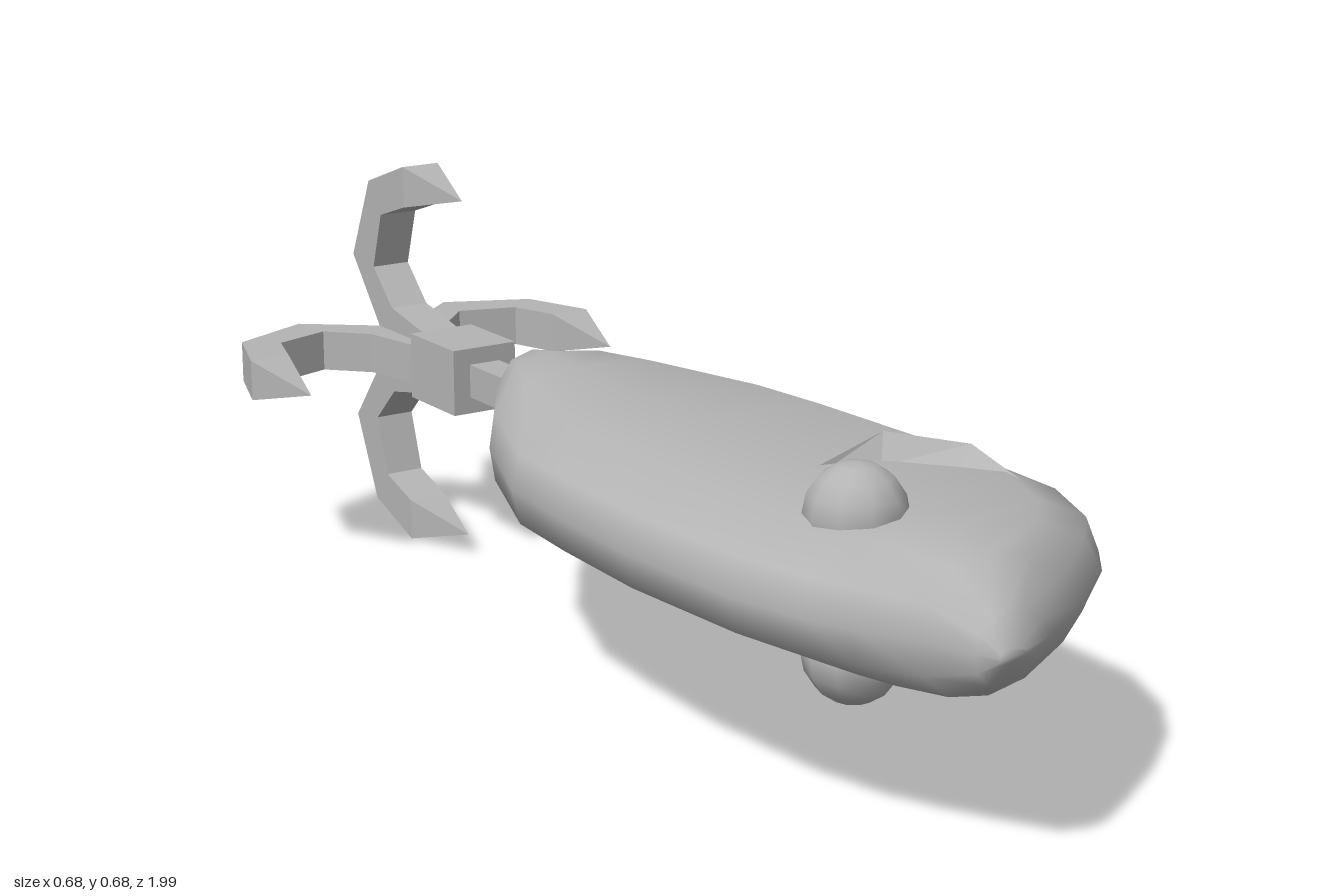
import * as THREE from 'three';

const MID = 0.345; // height of the lure's centre plane

// Lofts the flat body through cross-sections: z, left x, right x, half height, nose sharpness
function bodyGeometry() {
  const stations = [
    [0.99, -0.16, -0.11, 0.01, 1], [0.96, -0.175, -0.05, 0.055, 1],
    [0.88, -0.205, 0.08, 0.1, 1], [0.79, -0.25, 0.19, 0.11, 0.5],
    [0.72, -0.28, 0.245, 0.112, 0.2], [0.59, -0.31, 0.29, 0.112, 0],
    [0.35, -0.325, 0.3, 0.112, 0], [0.15, -0.315, 0.285, 0.112, 0],
    [0, -0.3, 0.262, 0.112, 0], [-0.22, -0.21, 0.172, 0.112, 0],
    [-0.33, -0.137, 0.115, 0.11, 0], [-0.4, -0.09, 0.077, 0.096, 0],
    [-0.47, -0.042, 0.038, 0.058, 0], [-0.505, -0.018, 0.016, 0.02, 0],
  ];
  const pos = [], idx = [];
  let n = 0;
  for (const [z, xl, xr, h, k] of stations) {
    // upper half from right to left, then its mirror below
    const upper = [
      [1, 0], [0.97 - 0.1 * k, 0.5], [0.81 - 0.17 * k, 0.88],
      [0.42, 1], [0.18, 0.88], [0.025, 0.5], [0, 0],
    ];
    const ring = [...upper, ...upper.slice(1, -1).reverse().map(([f, v]) => [f, -v])];
    n = ring.length;
    for (const [f, v] of ring) pos.push(xl + f * (xr - xl), v * h, z);
  }
  const last = stations.length - 1;
  for (let i = 0; i < last; i++) {
    for (let j = 0; j < n; j++) {
      const a = i * n + j, b = i * n + (j + 1) % n;
      idx.push(a, a + n, b, b, a + n, b + n);
    }
  }
  // close nose and tail
  for (let j = 1; j < n - 1; j++) {
    idx.push(0, j, j + 1, last * n, last * n + j + 1, last * n + j);
  }
  const g = new THREE.BufferGeometry();
  g.setAttribute('position', new THREE.Float32BufferAttribute(pos, 3));
  g.setIndex(idx);
  g.computeVertexNormals();
  return g;
}

// Crescent gill ridge: outer base, crest and inner base lines, side is +1 or -1
function gillGeometry(side) {
  const outer = [[-0.08, 0.09, 0.455], [0.065, 0.09, 0.435], [0.168, 0.085, 0.525], [0.185, 0.07, 0.635]];
  const crest = [[-0.08, 0.105, 0.455], [0.06, 0.144, 0.452], [0.162, 0.127, 0.53], [0.185, 0.085, 0.635]];
  const inner = [[-0.08, 0.09, 0.457], [0.04, 0.1, 0.475], [0.12, 0.095, 0.55], [0.185, 0.07, 0.635]];
  const pos = [];
  const tri = (a, b, c) => {
    for (const p of side > 0 ? [a, b, c] : [a, c, b]) pos.push(p[0], p[1] * side, p[2]);
  };
  for (let i = 0; i < 3; i++) {
    for (const [p, q] of [[outer, crest], [crest, inner]]) {
      tri(p[i], q[i], p[i + 1]);
      tri(p[i + 1], q[i], q[i + 1]);
    }
  }
  const g = new THREE.BufferGeometry();
  g.setAttribute('position', new THREE.Float32BufferAttribute(pos, 3));
  g.computeVertexNormals();
  return g;
}

// One hook arm: extruded outline in radius and z, pinched to a point at the tip
function hookArmGeometry() {
  const tip = [0.3, -0.66];
  const outline = [
    [0, -0.7], [0, -0.87], [0.035, -0.905], [0.15, -0.998], [0.295, -0.932], [0.34, -0.805],
    tip, [0.268, -0.805], [0.24, -0.89], [0.14, -0.922], [0.077, -0.857], [0.055, -0.745],
  ];
  const shape = new THREE.Shape(outline.map(([r, z]) => new THREE.Vector2(r, -z)));
  const g = new THREE.ExtrudeGeometry(shape, { depth: 0.07, bevelEnabled: false });
  g.translate(0, 0, -0.035);
  g.rotateX(-Math.PI / 2);
  const p = g.attributes.position;
  for (let i = 0; i < p.count; i++) {
    if (Math.hypot(p.getX(i) - tip[0], p.getZ(i) - tip[1]) < 0.001) p.setY(i, 0);
  }
  g.computeVertexNormals();
  return g;
}

export function createModel() {
  const model = new THREE.Group();
  model.name = 'fishingLure';
  const grey = new THREE.MeshStandardMaterial({ color: 0xb4b4b4 });
  grey.name = 'grey';
  const greyThin = grey;
  greyThin.side = THREE.DoubleSide;

  const add = (name, geometry, x = 0, y = MID, z = 0) => {
    const m = new THREE.Mesh(geometry, grey);
    m.name = name;
    m.position.set(x, y, z);
    model.add(m);
    return m;
  };

  add('body', bodyGeometry());

  // eyes and gills on both flat faces
  for (const side of [1, -1]) {
    const label = side > 0 ? 'upper' : 'lower';
    add(label + 'Eye', new THREE.SphereGeometry(0.075, 10, 8), -0.13, MID + side * 0.101, 0.64);
    add(label + 'Gill', gillGeometry(side));
  }

  // hook mount
  add('hookStem', new THREE.BoxGeometry(0.058, 0.058, 0.14), 0, MID, -0.54);
  add('hookBlock', new THREE.BoxGeometry(0.122, 0.115, 0.15), 0, MID, -0.668);

  // four barbs around the stem axis
  const arm = hookArmGeometry();
  for (let i = 0; i < 4; i++) {
    add('hookArm' + (i + 1), arm).rotation.z = i * Math.PI / 2;
  }
  return model;
}
